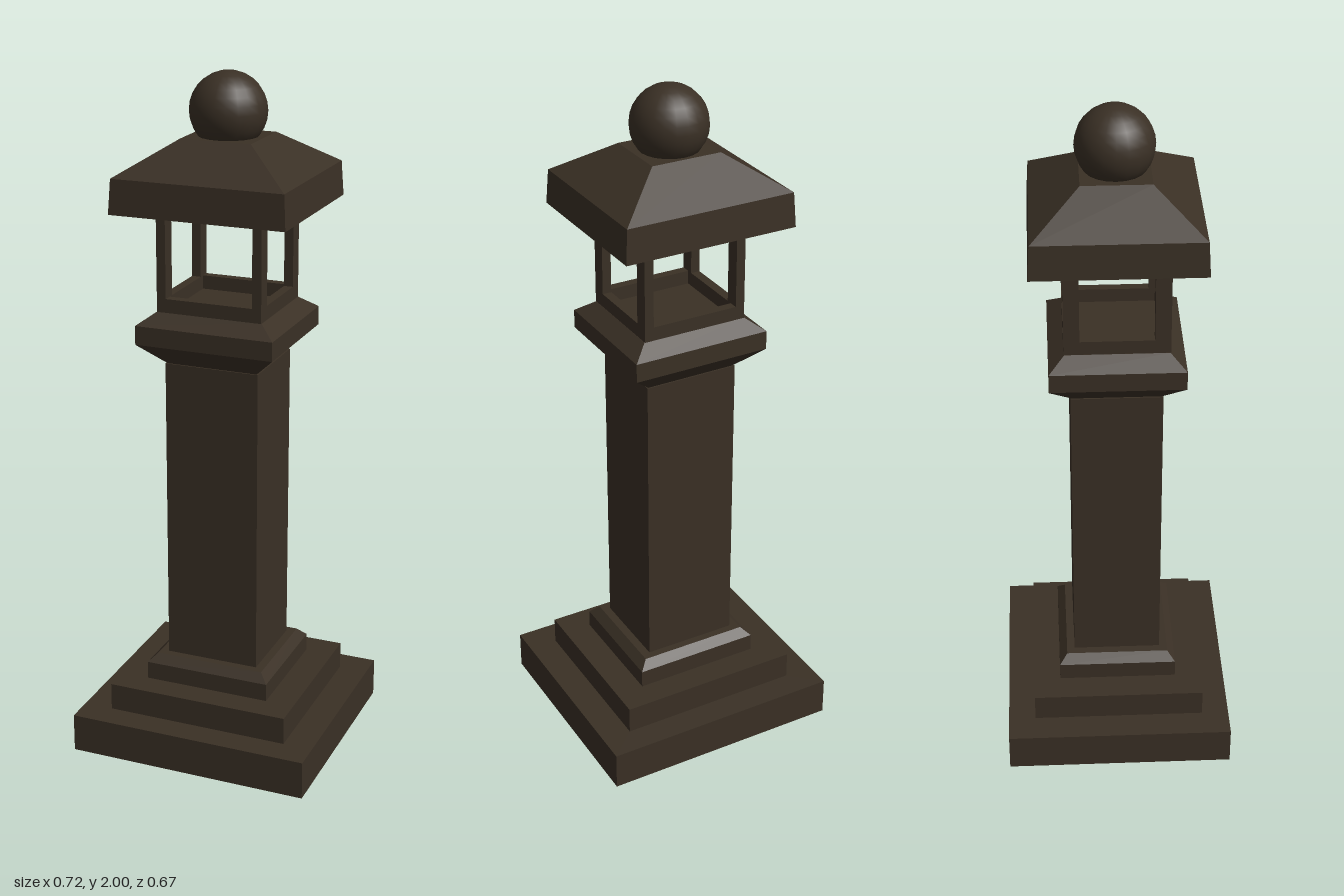
import * as THREE from 'three';

const DEPTH = 0.925; // plan is slightly shallower than wide

export function createModel() {
  const model = new THREE.Group();
  model.name = 'stoneLantern';
  const stone = new THREE.MeshStandardMaterial({ color: 0x3a3025 });
  stone.name = 'darkStone';

  const add = (name, geometry, parent = model) => {
    const mesh = new THREE.Mesh(geometry, stone);
    mesh.name = name;
    parent.add(mesh);
    return mesh;
  };

  // Four-sided block, half width w0 at height y0 to w1 at height y1
  const block = (name, w0, y0, w1, y1) => {
    const g = new THREE.CylinderGeometry(w1 * Math.SQRT2, w0 * Math.SQRT2, y1 - y0, 4)
      .rotateY(Math.PI / 4)
      .scale(1, 1, DEPTH)
      .translate(0, (y0 + y1) / 2, 0)
      .toNonIndexed();
    g.computeVertexNormals();
    return add(name, g);
  };

  // Stepped base and shaft
  block('basePlinth', 0.362, 0, 0.362, 0.115);
  block('baseStep', 0.275, 0.115, 0.275, 0.197);
  block('shaftFoot', 0.19, 0.197, 0.19, 0.25);
  block('shaftFootBevel', 0.19, 0.25, 0.165, 0.275);
  block('shaft', 0.14, 0.27, 0.14, 1.185);

  // Flared collar carrying the lamp chamber
  block('collarFlare', 0.13, 1.18, 0.205, 1.25);
  block('collarBand', 0.205, 1.25, 0.205, 1.305);
  block('collarBevel', 0.205, 1.305, 0.157, 1.34);

  // Open lamp chamber: corner posts, sills and lintels
  const chamber = new THREE.Group();
  chamber.name = 'lampChamber';
  model.add(chamber);
  const X = 0.156, Z = 0.147, PX = 0.027, PZ = 0.044;
  const box = (name, w, h, d, x, y, z) =>
    add(name, new THREE.BoxGeometry(w, h, d), chamber).position.set(x, y, z);
  for (const s of [-1, 1]) {
    for (const t of [-1, 1])
      box('cornerPost', PX, 0.29, PZ, s * (X - PX / 2), 1.485, t * (Z - PZ / 2));
    for (const [part, y0, y1] of [['Sill', 1.34, 1.38], ['Lintel', 1.605, 1.63]]) {
      const h = y1 - y0, y = (y0 + y1) / 2;
      box('side' + part, PX, h, 2 * (Z - PZ), s * (X - PX / 2), y, 0);
      box('end' + part, 2 * (X - PX), h, PX, 0, y, s * (Z - PX / 2));
    }
  }

  // Roof with upright eaves and a hipped top
  block('roofEaves', 0.257, 1.628, 0.251, 1.727);
  block('roofSlope', 0.251, 1.727, 0.104, 1.822);

  // Ball finial
  add('ballFinial', new THREE.SphereGeometry(0.109, 20, 14)).position.y = 1.891;

  return model;
}
